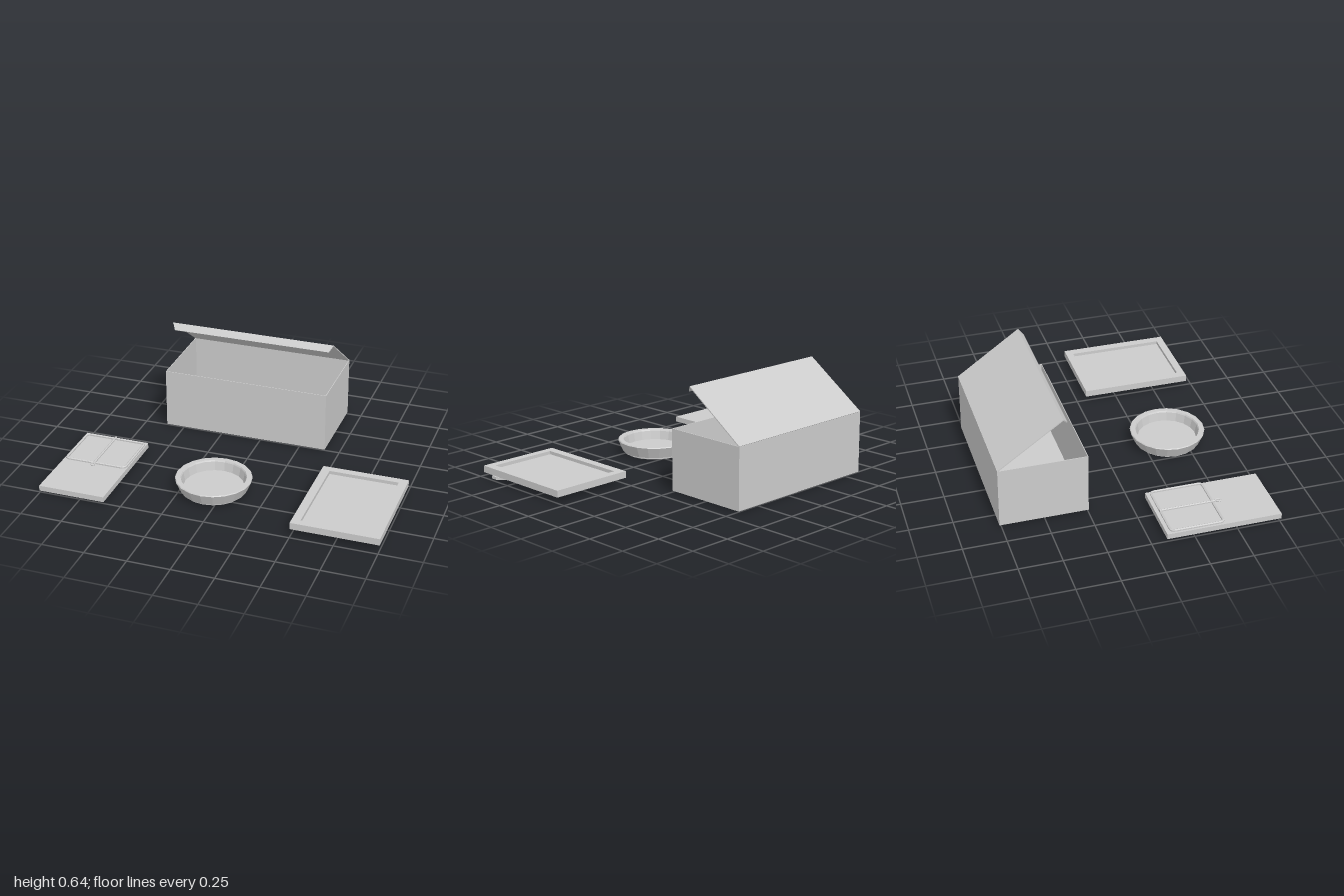
import * as THREE from 'three';

export function createModel() {
  const root = new THREE.Group();
  const mat = new THREE.MeshStandardMaterial({ color: 0xcccccc, flatShading: true, side: THREE.DoubleSide });

  const add = (parent, name, geo, x = 0, y = 0, z = 0) => {
    const m = new THREE.Mesh(geo, mat);
    m.name = name;
    m.position.set(x, y, z);
    parent.add(m);
    return m;
  };
  const group = (name) => {
    const g = new THREE.Group();
    g.name = name;
    root.add(g);
    return g;
  };
  const polygon = (pts) => new THREE.Shape(pts.map(([a, b]) => new THREE.Vector2(a, b)));
  const rect = (x0, y0, x1, y1) => polygon([[x0, y0], [x1, y0], [x1, y1], [x0, y1]]);
  const extrude = (shape, depth) => new THREE.ExtrudeGeometry(shape, { depth, bevelEnabled: false });
  // Shape drawn as (x, z), standing up from y = 0
  const slab = (shape, height) => extrude(shape, height).rotateX(Math.PI / 2).translate(0, height, 0);

  // Open box with thin walls
  const box = group('box');
  const walls = rect(-0.61, -0.76, 0.41, -0.245);
  walls.holes.push(rect(-0.606, -0.756, 0.406, -0.249));
  add(box, 'boxWalls', slab(walls, 0.364), 0, 0.01, 0);
  add(box, 'boxFloor', new THREE.BoxGeometry(1.012, 0.005, 0.507), -0.1, 0.0125, -0.5025);

  // Raised lid hinged at the back, with a tapered front lip
  const lid = add(box, 'boxLid', extrude(rect(-0.51, 0, 0.51, 0.459), 0.006), -0.1, 0.377, -0.76);
  lid.rotation.x = Math.atan2(0.375, 0.265);
  const lip = polygon([[-0.51, 0], [0.51, 0], [0.488, 0.046], [-0.488, 0.046]]);
  const lidLip = add(box, 'lidLip', extrude(lip, 0.006), -0.1, 0.642, -0.385);
  lidLip.rotation.x = Math.atan2(0.03, -0.035);

  // Spring trap: board, wire bow, holding bar with end loop
  const trap = group('trap');
  add(trap, 'trapBoard', new THREE.BoxGeometry(0.4, 0.032, 0.67), -0.8, 0.034, 0.425);
  const bow = new THREE.CurvePath();
  const [hx, hz, r] = [0.187, 0.154, 0.022];
  const corners = [[-1, -1], [1, -1], [1, 1], [-1, 1]];
  const v = (x, z) => new THREE.Vector3(x, 0, z);
  corners.forEach(([sx, sz], i) => {
    const alongX = i % 2 === 1;
    const a = v(sx * (hx - (alongX ? r : 0)), sz * (hz - (alongX ? 0 : r)));
    const b = v(sx * (hx - (alongX ? 0 : r)), sz * (hz - (alongX ? r : 0)));
    // Corners 0 and 2 are entered along z, corners 1 and 3 along x
    bow.add(new THREE.QuadraticBezierCurve3(a, v(sx * hx, sz * hz), b));
    const [nx, nz] = corners[(i + 1) % 4];
    const end = alongX ? v(nx * hx, nz * (hz - r)) : v(nx * (hx - r), nz * hz);
    bow.add(new THREE.LineCurve3(b, end));
  });
  add(trap, 'wireBow', new THREE.TubeGeometry(bow, 96, 0.008, 6, true), -0.798, 0.057, 0.271);
  add(trap, 'holdingBar', new THREE.CylinderGeometry(0.007, 0.007, 0.33, 6).rotateX(Math.PI / 2), -0.8, 0.064, 0.275);
  const loop = add(trap, 'barLoop', new THREE.TorusGeometry(0.011, 0.005, 5, 10).rotateX(Math.PI / 2), -0.8, 0.066, 0.455);
  loop.scale.z = 1.4;

  // Faceted bowl
  const profile = [[0, 0.003], [0.175, 0.003], [0.184, 0.008], [0.184, 0.016], [0.195, 0.018],
    [0.224, 0.085], [0.22, 0.09], [0.192, 0.09], [0.187, 0.082], [0.176, 0.03], [0, 0.03]];
  add(root, 'bowl', new THREE.LatheGeometry(profile.map(([x, y]) => new THREE.Vector2(x, y)), 20), -0.065, 0, 0.4);

  // Picture frame lying on its back
  const frame = group('pictureFrame');
  const border = rect(0.49, 0.055, 1, 0.715);
  border.holes.push(rect(0.54, 0.1, 0.95, 0.67));
  add(frame, 'frameBorder', slab(border, 0.04), 0, 0.036, 0);
  add(frame, 'framePanel', new THREE.BoxGeometry(0.41, 0.02, 0.57), 0.745, 0.046, 0.385);

  // Folding stand under the frame
  const leg = polygon([[0.74, 0.32], [0.98, 0.63], [0.98, 0.667], [0.95, 0.667], [0.68, 0.53], [0.66, 0.5], [0.66, 0.345]]);
  add(frame, 'standLeg', slab(leg, 0.016), 0, 0.004, 0);
  const hinge = polygon([[0.74, 0.32], [0.74, 0.4], [0.7, 0.53], [0.68, 0.53], [0.66, 0.5], [0.66, 0.345]]);
  add(frame, 'standHinge', slab(hinge, 0.016), 0, 0.02, 0);

  return root;
}
